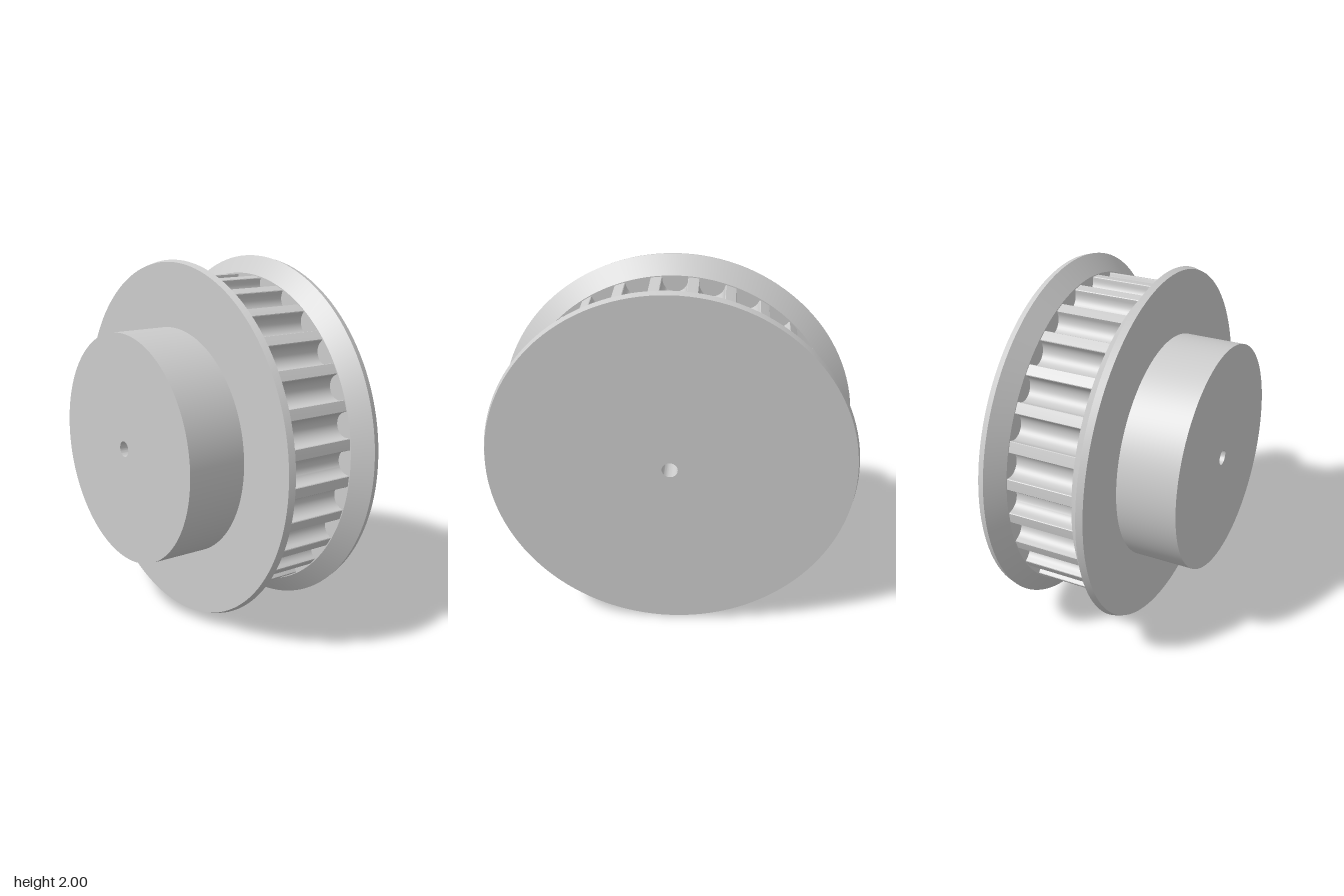
import * as THREE from 'three';
import { toCreasedNormals } from 'three/addons/utils/BufferGeometryUtils.js';

const TEETH = 28, BELT_R = 0.9, BORE_R = 0.043, HUB_R = 0.635;
const HUB_X = -0.47, LEFT_X = -0.135, BELT_X0 = -0.025, BELT_X1 = 0.352, RIGHT_X = 0.465;
const RIM_R = 0.905;

// Surface of revolution around the x axis from [radius, x] pairs
function turned(profile) {
  const points = profile.map(([r, x]) => new THREE.Vector2(r, x));
  const geometry = new THREE.LatheGeometry(points, 128).rotateZ(-Math.PI / 2);
  return toCreasedNormals(geometry, 0.15);
}

// Toothed outline in the (y, z) plane: round-bottomed grooves with eased lips
function toothOutline() {
  const groove = [[-0.073, 0.897], [-0.0695, 0.894]];
  for (let i = 0; i <= 20; i++) {
    const a = Math.PI * (1 + i / 20);
    groove.push([0.068 * Math.cos(a), 0.883 + 0.068 * Math.sin(a)]);
  }
  groove.push([0.0695, 0.894], [0.073, 0.897]);

  const outline = [];
  for (let k = 0; k < TEETH; k++) {
    const a = (k / TEETH) * Math.PI * 2, c = Math.cos(a), s = Math.sin(a);
    for (const [t, r] of groove) outline.push(new THREE.Vector2(r * c - t * s, r * s + t * c));
    const land = a + Math.PI / TEETH;
    outline.push(new THREE.Vector2(BELT_R * Math.cos(land), BELT_R * Math.sin(land)));
  }
  return outline;
}

// Sheet wrapped around the outline between the two flanges
function toothSurface(outline) {
  const n = outline.length;
  const geometry = new THREE.PlaneGeometry(1, 1, n, 1);
  const pos = geometry.attributes.position;
  for (let i = 0; i < pos.count; i++) {
    const p = outline[i % (n + 1) % n];
    pos.setXYZ(i, pos.getY(i) > 0 ? BELT_X1 : BELT_X0, p.x, p.y);
  }
  return toCreasedNormals(geometry, 0.3);
}

// Flange face visible at the ends of the grooves, facing +x
function grooveEnds(outline) {
  const shape = new THREE.Shape().absarc(0, 0, RIM_R, 0, Math.PI * 2, false);
  shape.holes.push(new THREE.Path(outline));
  const toAxis = new THREE.Matrix4().makeBasis(
    new THREE.Vector3(0, 1, 0), new THREE.Vector3(0, 0, 1), new THREE.Vector3(1, 0, 0));
  return new THREE.ShapeGeometry(shape, 128).applyMatrix4(toAxis);
}

export function createModel() {
  const pulley = new THREE.Group();
  pulley.name = 'timingPulley';
  const material = new THREE.MeshStandardMaterial({ color: 0xcccccc });
  const add = (name, geometry) => {
    const mesh = new THREE.Mesh(geometry, material);
    mesh.name = name;
    pulley.add(mesh);
    return mesh;
  };

  // Hub and the two bevelled flanges
  add('hub', turned([[BORE_R, HUB_X], [HUB_R, HUB_X], [HUB_R, LEFT_X]]));
  add('hubSideFlange', turned([[HUB_R, LEFT_X], [0.99, LEFT_X], [1, -0.1], [RIM_R, BELT_X0]]));
  add('outerFlange', turned([[RIM_R, BELT_X1], [1, 0.43], [0.99, RIGHT_X], [BORE_R, RIGHT_X]]));
  add('bore', turned([[BORE_R, RIGHT_X], [BORE_R, HUB_X]]));

  // Toothed belt track and the groove end walls
  const outline = toothOutline();
  add('teeth', toothSurface(outline));
  const ends = grooveEnds(outline);
  add('hubSideGrooveEnds', ends).position.x = BELT_X0;
  add('outerGrooveEnds', ends.clone().rotateY(Math.PI)).position.x = BELT_X1;

  pulley.position.y = 1;
  const model = new THREE.Group();
  model.name = 'model';
  model.add(pulley);
  return model;
}
